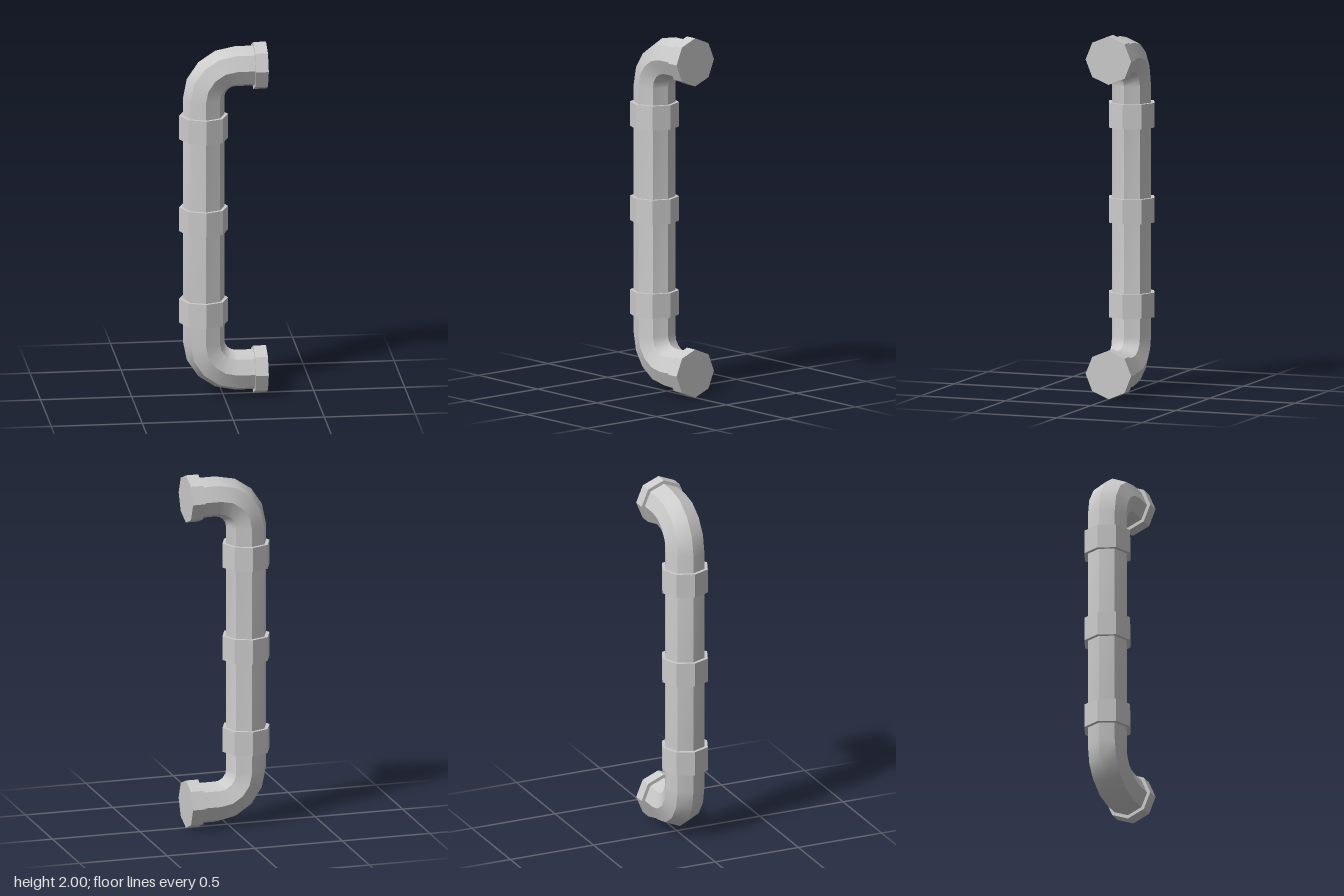
import * as THREE from 'three';
import { toCreasedNormals } from 'three/addons/utils/BufferGeometryUtils.js';

const SIDES = 8;
const PIPE_R = 0.114, COLLAR_R = 0.134;
const PIPE_X = -0.105;          // axis of the upright run
const BEND_X = 0.07;            // centre of both elbows
const BEND_R = BEND_X - PIPE_X;
const END_Y = [0.134, 1.866];   // axes of the two horizontal ends
const END_X = 0.238, FLANGE_W = 0.07;
const BEND_STEPS = 4;

// Octagonal section swept through the lower elbow, upright run and upper elbow
function pipeGeometry() {
  // Each ring: centre and the angle pointing to the outside of the bend
  const rings = [];
  const bend = (cy, from, to) => {
    for (let i = 0; i <= BEND_STEPS; i++) {
      const a = THREE.MathUtils.lerp(from, to, i / BEND_STEPS);
      rings.push({ x: BEND_X + BEND_R * Math.cos(a), y: cy + BEND_R * Math.sin(a), a });
    }
  };
  rings.push({ x: END_X - FLANGE_W / 2, y: END_Y[0], a: Math.PI * 1.5 });
  bend(END_Y[0] + BEND_R, Math.PI * 1.5, Math.PI);
  bend(END_Y[1] - BEND_R, Math.PI, Math.PI / 2);
  rings.push({ x: END_X - FLANGE_W / 2, y: END_Y[1], a: Math.PI / 2 });

  const pos = [], index = [];
  rings.forEach(({ x, y, a }, i) => {
    for (let j = 0; j < SIDES; j++) {
      const t = (j / SIDES) * Math.PI * 2;
      const out = PIPE_R * Math.cos(t);
      pos.push(x + out * Math.cos(a), y + out * Math.sin(a), PIPE_R * Math.sin(t));
      if (i === rings.length - 1) continue;
      const k = (j + 1) % SIDES;
      const p = i * SIDES + j, q = i * SIDES + k;
      index.push(p, q, q + SIDES, p, q + SIDES, p + SIDES);
    }
  });
  const geo = new THREE.BufferGeometry();
  geo.setAttribute('position', new THREE.Float32BufferAttribute(pos, 3));
  geo.setIndex(index);
  // Smooth along the bends, sharp between the eight sides
  return toCreasedNormals(geo, 0.6);
}

export function createModel() {
  const group = new THREE.Group();
  const smooth = new THREE.MeshStandardMaterial({ color: 0xcccccc });
  const flat = new THREE.MeshStandardMaterial({ color: 0xcccccc, flatShading: true });

  const add = (name, geo, mat, x = 0, y = 0) => {
    const mesh = new THREE.Mesh(geo, mat);
    mesh.name = name;
    mesh.position.set(x, y, 0);
    group.add(mesh);
    return mesh;
  };

  add('pipe', pipeGeometry(), smooth);

  // Coupling collars over the joints, each made of two halves
  const collar = new THREE.CylinderGeometry(COLLAR_R, COLLAR_R, 0.136, SIDES, 2);
  [['lowerCollar', 0.481], ['middleCollar', 1.003], ['upperCollar', 1.527]]
    .forEach(([name, y]) => add(name, collar, flat, PIPE_X, y));

  // Closed flanges on the two ends
  const flange = new THREE.CylinderGeometry(COLLAR_R, COLLAR_R, FLANGE_W, SIDES);
  flange.rotateZ(Math.PI / 2);
  ['lowerFlange', 'upperFlange'].forEach((name, i) =>
    add(name, flange, flat, END_X - FLANGE_W / 2, END_Y[i]));

  return group;
}
